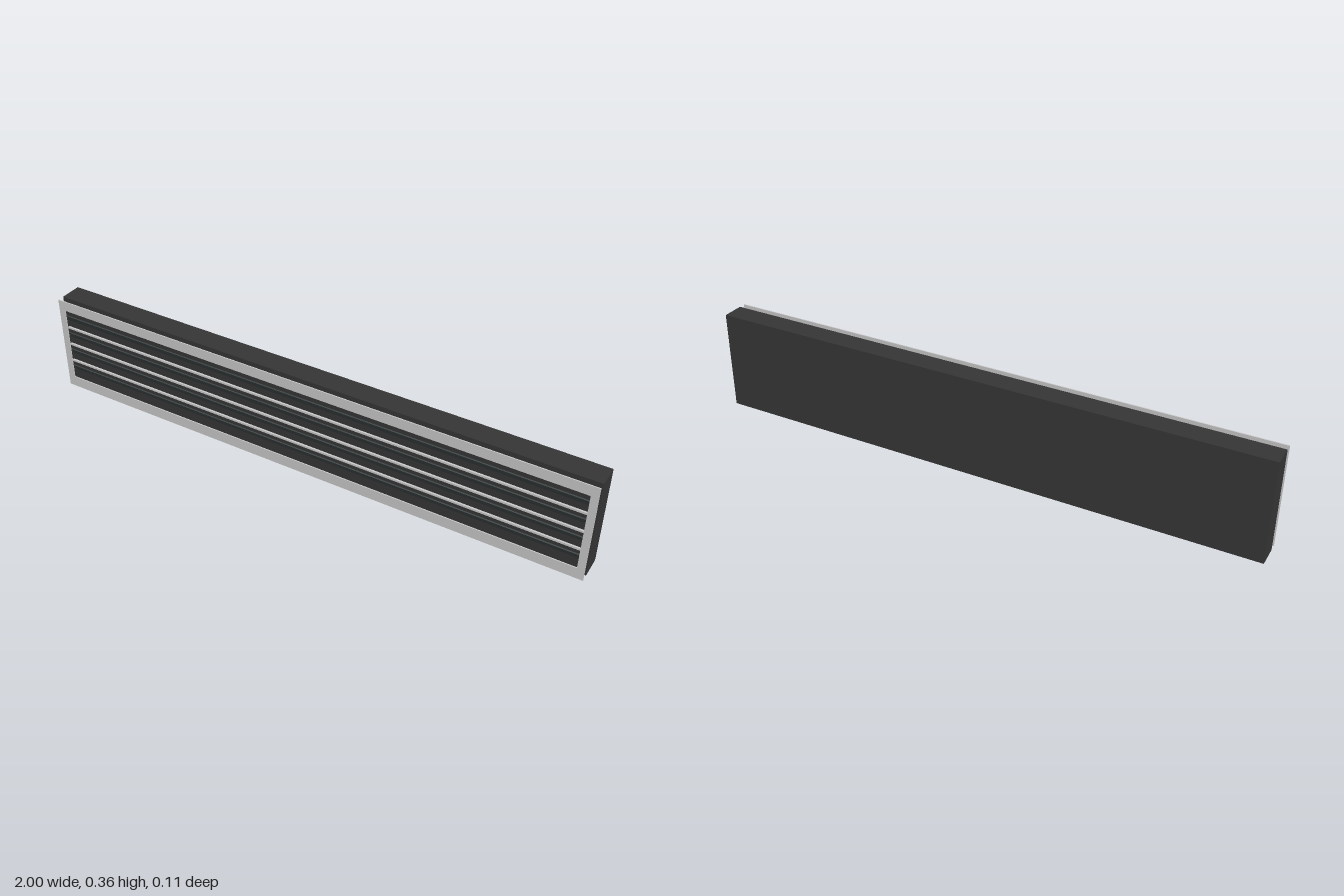
import * as THREE from 'three';

const frameMat = new THREE.MeshStandardMaterial({ color: 0xc6c6c6 });
frameMat.name = 'light grey metal';
const boxMat = new THREE.MeshStandardMaterial({ color: 0x353535 });
boxMat.name = 'charcoal';
const slatMat = new THREE.MeshStandardMaterial({ color: 0x394040 });
slatMat.name = 'dark slate';

function addBox(group, name, material, size, position) {
  const mesh = new THREE.Mesh(new THREE.BoxGeometry(...size), material);
  mesh.name = name;
  mesh.position.set(...position);
  group.add(mesh);
  return mesh;
}

function rectangle(path, x, y0, y1) {
  path.moveTo(-x, y0);
  path.lineTo(x, y0);
  path.lineTo(x, y1);
  path.lineTo(-x, y1);
  path.closePath();
  return path;
}

export function createModel() {
  const group = new THREE.Group();
  group.name = 'ventGrille';

  // Duct box behind the grille
  addBox(group, 'ductBox', boxMat, [2, 0.36, 0.079], [0, 0.18, -0.0125]);

  // Thin face frame with one wide opening
  const outline = rectangle(new THREE.Shape(), 1, 0, 0.36);
  outline.holes.push(rectangle(new THREE.Path(), 0.975, 0.04, 0.323));
  const frame = new THREE.Mesh(
    new THREE.ExtrudeGeometry(outline, { depth: 0.004, bevelEnabled: false }), frameMat);
  frame.name = 'faceFrame';
  frame.position.z = 0.049;
  group.add(frame);

  // Tilted slats, with slim bars between them
  for (let i = 0; i < 4; i++) {
    const y = 0.077 + i * 0.07;
    const slat = addBox(group, 'slat', slatMat, [1.95, 0.03, 0.004], [0, y, 0.04]);
    slat.rotation.x = Math.PI / 6;
    if (i < 3) addBox(group, 'dividerBar', frameMat, [1.95, 0.007, 0.007], [0, y + 0.034, 0.046]);
  }
  return group;
}
